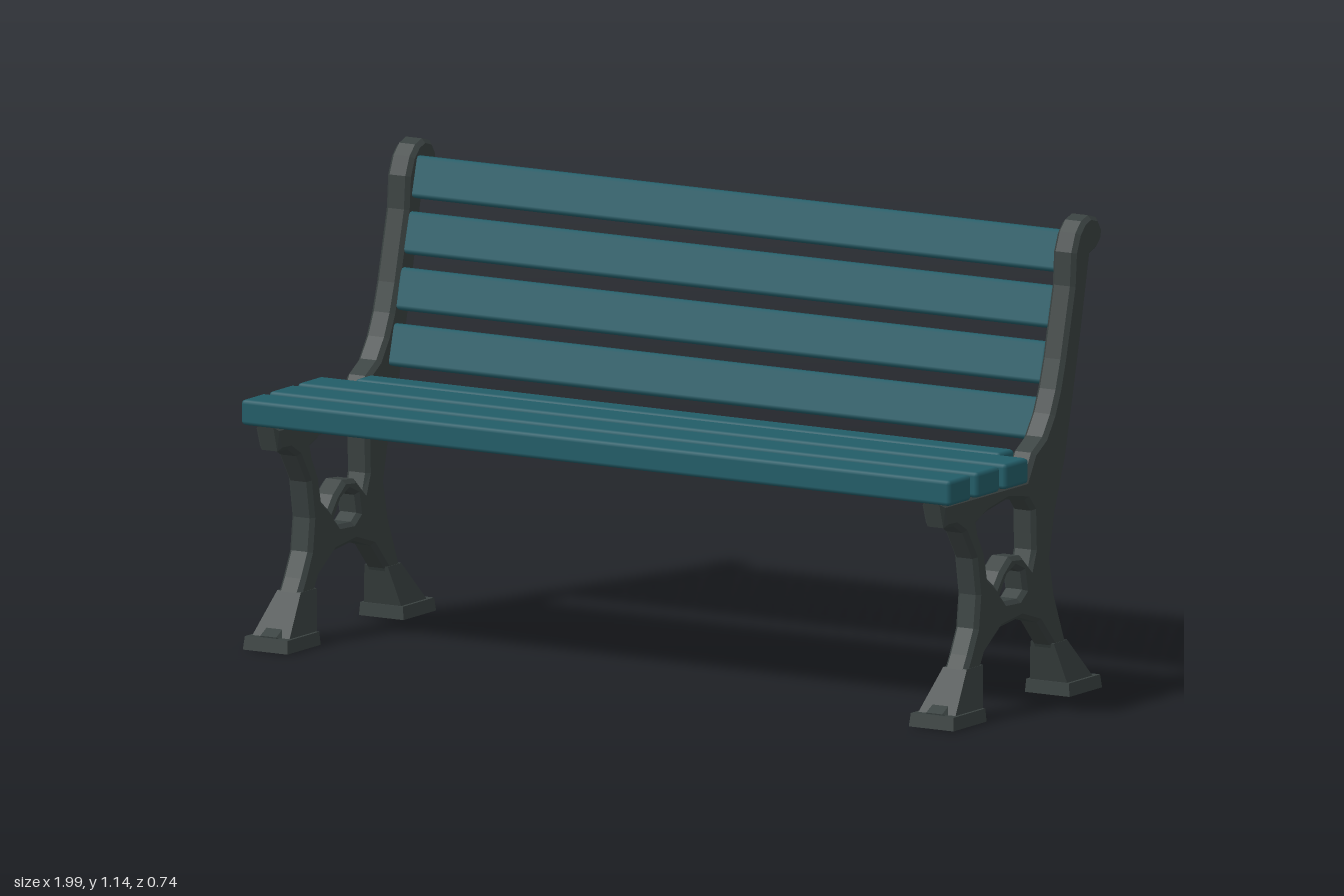
import * as THREE from 'three';
import { RoundedBoxGeometry } from 'three/addons/geometries/RoundedBoxGeometry.js';

const paint = new THREE.MeshStandardMaterial({ color: 0x225c67 });
paint.name = 'teal painted wood';
const iron = new THREE.MeshStandardMaterial({ color: 0x394140 });
iron.name = 'dark cast iron';

function add(parent, name, geometry, material) {
  const mesh = new THREE.Mesh(geometry, material);
  mesh.name = name;
  parent.add(mesh);
  return mesh;
}

const toPoints = (list) => list.map(([z, y]) => new THREE.Vector2(z, y));

// Side outline of the casting as [z, y]
const outline = [
  // front leg up to the seat rail
  [0.33, 0.01], [0.335, 0.035], [0.30, 0.055], [0.26, 0.10], [0.225, 0.16], [0.195, 0.22],
  [0.185, 0.30], [0.20, 0.39], [0.245, 0.46], [0.285, 0.483], [0.33, 0.485], [0.348, 0.545],
  // seat rail and front of the back post
  [-0.03, 0.545], [-0.065, 0.605], [-0.115, 0.635], [-0.15, 0.685], [-0.175, 0.74],
  [-0.197, 0.81], [-0.24, 0.98], [-0.246, 1.06],
  // scroll on top
  [-0.265, 1.105], [-0.29, 1.13], [-0.32, 1.14], [-0.355, 1.13], [-0.375, 1.10],
  [-0.37, 1.075], [-0.35, 1.055], [-0.32, 1.045],
  // rear of the back post and rear leg
  [-0.31, 1.0], [-0.28, 0.86], [-0.24, 0.69], [-0.21, 0.57], [-0.165, 0.45], [-0.14, 0.34],
  [-0.16, 0.25], [-0.21, 0.13], [-0.26, 0.065], [-0.30, 0.035], [-0.30, 0.01],
  // arch between the feet
  [-0.19, 0.01], [-0.185, 0.055], [-0.15, 0.125], [-0.09, 0.19], [-0.01, 0.215],
  [0.08, 0.205], [0.155, 0.155], [0.195, 0.085], [0.21, 0.01],
];
const upperHole = [
  [0.19, 0.475], [0.14, 0.495], [0.05, 0.51], [-0.035, 0.495], [-0.062, 0.465], [-0.065, 0.37],
  [-0.052, 0.33], [-0.012, 0.365], [0.04, 0.37], [0.08, 0.34], [0.105, 0.31], [0.14, 0.335],
  [0.155, 0.40], [0.183, 0.45],
];
const lowerHole = [
  [0.082, 0.285], [0.055, 0.325], [0.02, 0.34], [-0.015, 0.325], [-0.025, 0.28],
  [0.0, 0.262], [0.06, 0.265],
];

function frameGeometry() {
  const shape = new THREE.Shape(toPoints(outline));
  shape.holes = [upperHole, lowerHole].map((h) => new THREE.Path(toPoints(h)));
  const bevel = 0.01;
  const geometry = new THREE.ExtrudeGeometry(shape, {
    depth: 0.064 - 2 * bevel, bevelEnabled: true, bevelSegments: 1,
    bevelThickness: bevel, bevelSize: bevel, bevelOffset: -bevel,
  });
  geometry.translate(0, 0, -0.032 + bevel);
  return geometry.rotateY(-Math.PI / 2);
}

// Box whose top face is moved and resized: each end is [z0, z1, y, width]
function taperedBlock(bottom, top) {
  const geometry = new THREE.BoxGeometry(1, 1, 1).toNonIndexed();
  const pos = geometry.attributes.position;
  for (let i = 0; i < pos.count; i++) {
    const [z0, z1, y, width] = pos.getY(i) > 0 ? top : bottom;
    pos.setXYZ(i, pos.getX(i) * width, y, pos.getZ(i) > 0 ? z1 : z0);
  }
  geometry.computeVertexNormals();
  return geometry;
}

function sideFrame(name) {
  const side = new THREE.Group();
  side.name = name;
  add(side, 'castFrame', frameGeometry(), iron);
  // flared feet
  add(side, 'frontFoot', taperedBlock([0.2, 0.35, 0, 0.125], [0.202, 0.345, 0.032, 0.12]), iron);
  add(side, 'frontAnkle', taperedBlock([0.2, 0.325, 0.03, 0.105], [0.17, 0.242, 0.13, 0.066]), iron);
  add(side, 'rearFoot', taperedBlock([-0.32, -0.173, 0, 0.125], [-0.315, -0.175, 0.032, 0.12]), iron);
  add(side, 'rearAnkle', taperedBlock([-0.295, -0.18, 0.03, 0.105], [-0.21, -0.15, 0.13, 0.066]), iron);
  return side;
}

export function createModel() {
  const bench = new THREE.Group();
  bench.name = 'bench';

  // cast iron ends
  for (const s of [-1, 1]) {
    const side = sideFrame(s > 0 ? 'leftSide' : 'rightSide');
    side.position.x = s * 0.934;
    bench.add(side);
  }

  // seat slats: [centre z, depth, length]; the rear one fits between the ends
  const seat = [[0.314, 0.1, 1.99], [0.187, 0.104, 1.99], [0.058, 0.106, 1.99], [-0.04, 0.07, 1.81]];
  seat.forEach(([z, depth, length], i) => {
    const slat = add(bench, `seatSlat${i + 1}`, new RoundedBoxGeometry(length, 0.062, depth, 1, 0.01), paint);
    slat.position.set(0, 0.577, z);
  });

  // back slats follow the lean of the posts
  for (let i = 0; i < 4; i++) {
    const y = 0.662 + i * 0.13;
    const slat = add(bench, `backSlat${i + 1}`, new RoundedBoxGeometry(1.82, 0.102, 0.045, 1, 0.01), paint);
    slat.position.set(0, y, -0.188 - (y - 0.662) * 0.267);
    slat.rotation.x = -0.26;
  }
  return bench;
}
